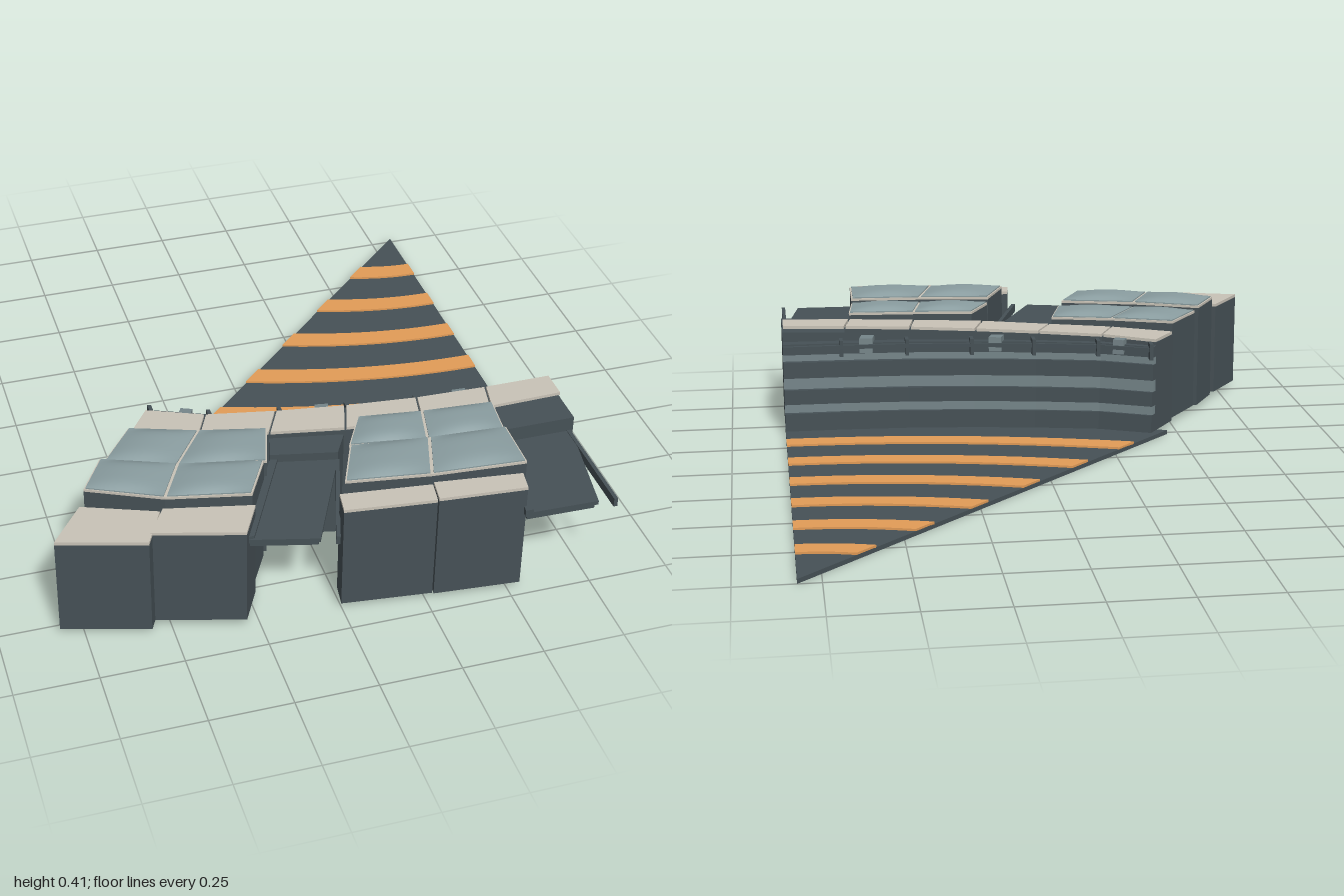
import * as THREE from 'three';

const material = (color) => new THREE.MeshStandardMaterial({ color });
const DARK = material(0x465156);
const BAND = material(0x76868a);
const BEIGE = material(0xc9c3b7);
const PANEL = material(0x8a9da0);
const ORANGE = material(0xe39c57);

// Block over a plan quad [backLeft, backRight, frontRight, frontLeft] of [x, z];
// top may be a number or a function of x, and the upper face may be domed.
function block(parent, name, quad, y0, top, mat, dome = 0) {
  const n = dome ? 10 : 1;
  const geo = new THREE.BoxGeometry(1, 1, 1, n, 1, n);
  const p = geo.attributes.position;
  const [a, b, c, d] = quad;
  const mix = THREE.MathUtils.lerp;
  for (let i = 0; i < p.count; i++) {
    const u = p.getX(i) + 0.5, v = p.getZ(i) + 0.5;
    const x = mix(mix(a[0], b[0], u), mix(d[0], c[0], u), v);
    const z = mix(mix(a[1], b[1], u), mix(d[1], c[1], u), v);
    let y = y0;
    if (p.getY(i) > 0) {
      y = typeof top === 'function' ? top(x) : top;
      y += dome * (1 - (2 * u - 1) ** 2) * (1 - (2 * v - 1) ** 4);
    } else if (typeof y0 === 'function') y = y0(x);
    p.setXYZ(i, x, y, z);
  }
  geo.computeVertexNormals();
  const mesh = new THREE.Mesh(geo, mat);
  mesh.name = name;
  parent.add(mesh);
  return mesh;
}

function inset(quad, k) {
  const cx = quad.reduce((s, q) => s + q[0], 0) / 4;
  const cz = quad.reduce((s, q) => s + q[1], 0) / 4;
  return quad.map(([x, z]) => [cx + (x - cx) * k, cz + (z - cz) * k]);
}

// Curved line across the wedge; t runs from its point (0) to the wall (1)
function fieldArc(t) {
  const pts = [];
  for (let i = 0; i <= 24; i++) {
    const s = i / 24;
    pts.push([0.82 - 1.27 * t * s, -1 + 1.43 * t - 0.21 * t * s * s]);
  }
  return pts;
}

function plate(parent, name, outline, y0, y1, mat) {
  const shape = new THREE.Shape(outline.map(([x, z]) => new THREE.Vector2(x, -z)));
  const geo = new THREE.ExtrudeGeometry(shape, { depth: y1 - y0, bevelEnabled: false });
  geo.rotateX(-Math.PI / 2).translate(0, y0, 0);
  const mesh = new THREE.Mesh(geo, mat);
  mesh.name = name;
  parent.add(mesh);
}

function subgroup(parent, name) {
  const g = new THREE.Group();
  g.name = name;
  parent.add(g);
  return g;
}

export function createModel() {
  const model = new THREE.Group();
  model.name = 'curvedTerrace';

  // Wedge floor with curved stripes
  const floor = subgroup(model, 'floor');
  plate(floor, 'wedge', [[0.82, -1], ...fieldArc(1.01)], 0, 0.014, DARK);
  for (let i = 0; i < 6; i++) {
    const z = -0.805 + 0.205 * i;
    const inner = fieldArc((z + 1) / 1.43), outer = fieldArc((z + 1.067) / 1.43);
    plate(floor, 'stripe', [...inner, ...outer.reverse()], 0.012, 0.021, ORANGE);
  }

  // Back row of blocks and the banded wall facing the wedge
  const backRow = subgroup(model, 'backRow');
  const wall = subgroup(model, 'bandedWall');
  const inner = [[-0.42, 0.23], [-0.25, 0.31], [-0.04, 0.36], [0.17, 0.4], [0.39, 0.43], [0.61, 0.445], [0.82, 0.452]];
  const outer = [[-0.5, 0.34], [-0.3, 0.415], [-0.09, 0.46], [0.135, 0.51], [0.37, 0.53], [0.59, 0.545], [0.82, 0.547]];
  const roofY = (x) => 0.368 - 0.028 * (0.82 - x);
  const offset = (i, d) => {
    const [ax, az] = inner[i], [bx, bz] = outer[i];
    const k = (d * (0.5 + i / 12)) / Math.hypot(ax - bx, az - bz);
    return [ax + (ax - bx) * k, az + (az - bz) * k];
  };
  const layers = [
    [0.01, 0.075, 0.06, DARK], [0.075, 0.105, 0.045, BAND], [0.105, 0.155, 0.052, DARK],
    [0.155, 0.195, 0.035, BAND], [0.195, 0.25, 0.045, DARK], [0.25, 0.275, 0.025, BAND],
    [0.275, 0.312, 0.038, DARK],
  ];
  for (let i = 0; i < 6; i++) {
    const quad = [inner[i], inner[i + 1], outer[i + 1], outer[i]];
    const gap = i === 5 ? 0.022 : 0.01;
    block(backRow, 'backBlock', quad, 0.014, (x) => roofY(x) - gap, DARK);
    block(backRow, 'backRoof', inset(quad, 0.97), (x) => roofY(x) - 0.01, roofY, BEIGE);
    for (const [y0, y1, d, mat] of layers) {
      const strip = [offset(i, d), offset(i + 1, d), inner[i + 1], inner[i]];
      block(wall, 'wallBand', strip, y0, y1, mat);
    }
    // Thin rail, small boxes and upright joints
    const rail = [offset(i, 0.065), offset(i + 1, 0.065), offset(i + 1, 0.052), offset(i, 0.052)];
    block(wall, 'topRail', rail, 0.297, 0.31, DARK);
    const [px, pz] = offset(i, 0.05);
    block(wall, 'railPost', [[px, pz - 0.012], [px + 0.012, pz - 0.01], [px + 0.012, pz + 0.03], [px, pz + 0.03]], 0.27, 0.325, DARK);
    if (i % 2 === 0) {
      const at = (d, s) => {
        const a = offset(i, d), b = offset(i + 1, d);
        return [a[0] + (b[0] - a[0]) * s, a[1] + (b[1] - a[1]) * s];
      };
      block(wall, 'wallBox', [at(0.055, 0.55), at(0.055, 0.75), at(0, 0.75), at(0, 0.55)], 0.28, 0.33, BAND);
    }
  }

  // Roofed rows: back line, front line, body height, dome height
  const rows = [
    [[[-0.5, 0.35], [-0.3, 0.42], [-0.1, 0.467]], [[-0.606, 0.489], [-0.405, 0.568], [-0.145, 0.62]], 0.368, 0.014],
    [[[-0.62, 0.494], [-0.405, 0.579], [-0.16, 0.637]], [[-0.696, 0.62], [-0.48, 0.722], [-0.235, 0.775]], 0.383, 0.014],
    [[[0.172, 0.51], [0.368, 0.536], [0.59, 0.552]], [[0.103, 0.637], [0.336, 0.674], [0.574, 0.69]], 0.385, 0.014],
    [[[0.098, 0.658], [0.336, 0.685], [0.574, 0.7]], [[0.03, 0.817], [0.283, 0.854], [0.57, 0.875]], 0.4, 0.014],
  ];
  const domes = subgroup(model, 'domedRows');
  for (const [back, front, y, dome] of rows) {
    for (let i = 0; i < 2; i++) {
      const quad = [back[i], back[i + 1], front[i + 1], front[i]];
      block(domes, 'rowBody', quad, 0.02, y - 0.012, DARK);
      block(domes, 'roofRim', quad, y - 0.012, y - 0.004, BEIGE);
      block(domes, 'domedRoof', inset(quad, 0.96), y - 0.006, y, PANEL, dome);
    }
  }

  // Front row with flat pale roofs
  const frontRow = subgroup(model, 'frontRow');
  const frontBlocks = [
    [[[-0.717, 0.653], [-0.5, 0.738], [-0.563, 0.865], [-0.82, 0.79]], 0.345],
    [[[-0.49, 0.732], [-0.23, 0.79], [-0.288, 0.902], [-0.55, 0.828]], 0.348],
    [[[0.008, 0.838], [0.281, 0.87], [0.27, 0.942], [-0.003, 0.912]], 0.371],
    [[[0.284, 0.87], [0.548, 0.902], [0.537, 0.968], [0.273, 0.946]], 0.378],
  ];
  for (const [quad, y] of frontBlocks) {
    block(frontRow, 'frontBlock', quad, 0.02, y - 0.01, DARK);
    block(frontRow, 'frontRoof', quad, y - 0.01, y, BEIGE);
  }

  // Aisles: a solid ledge behind, then a bridge over the open gap
  const aisles = [
    [[[-0.093, 0.467], [0.13, 0.51], [0.085, 0.59], [-0.115, 0.547]],
      [[-0.115, 0.547], [0.085, 0.59], [-0.077, 0.929], [-0.283, 0.876]], 0.325,
      [[0.079, 0.588], [0.09, 0.592], [-0.02, 0.938], [-0.032, 0.934]]],
    [[[0.59, 0.547], [0.82, 0.547], [0.82, 0.65], [0.575, 0.65]],
      [[0.575, 0.65], [0.815, 0.65], [0.754, 0.993], [0.527, 0.988]], 0.345,
      [[0.8, 0.65], [0.812, 0.65], [0.812, 1], [0.8, 1]]],
  ];
  for (const [ledge, bridge, y, bar] of aisles) {
    const aisle = subgroup(model, 'aisle');
    block(aisle, 'ledge', ledge, 0.02, y, DARK);
    block(aisle, 'bridgeDeck', bridge, 0.285, 0.298, DARK);
    block(aisle, 'bridgeBeam', inset(bridge, 0.93), 0.265, 0.286, DARK);
    const [a, , , d] = bridge;
    block(aisle, 'curb', [a, [a[0] + 0.025, a[1]], [d[0] + 0.025, d[1]], d], 0.29, 0.308, DARK);
    block(aisle, 'sideBar', bar, 0.272, 0.3, DARK);
  }

  return model;
}
